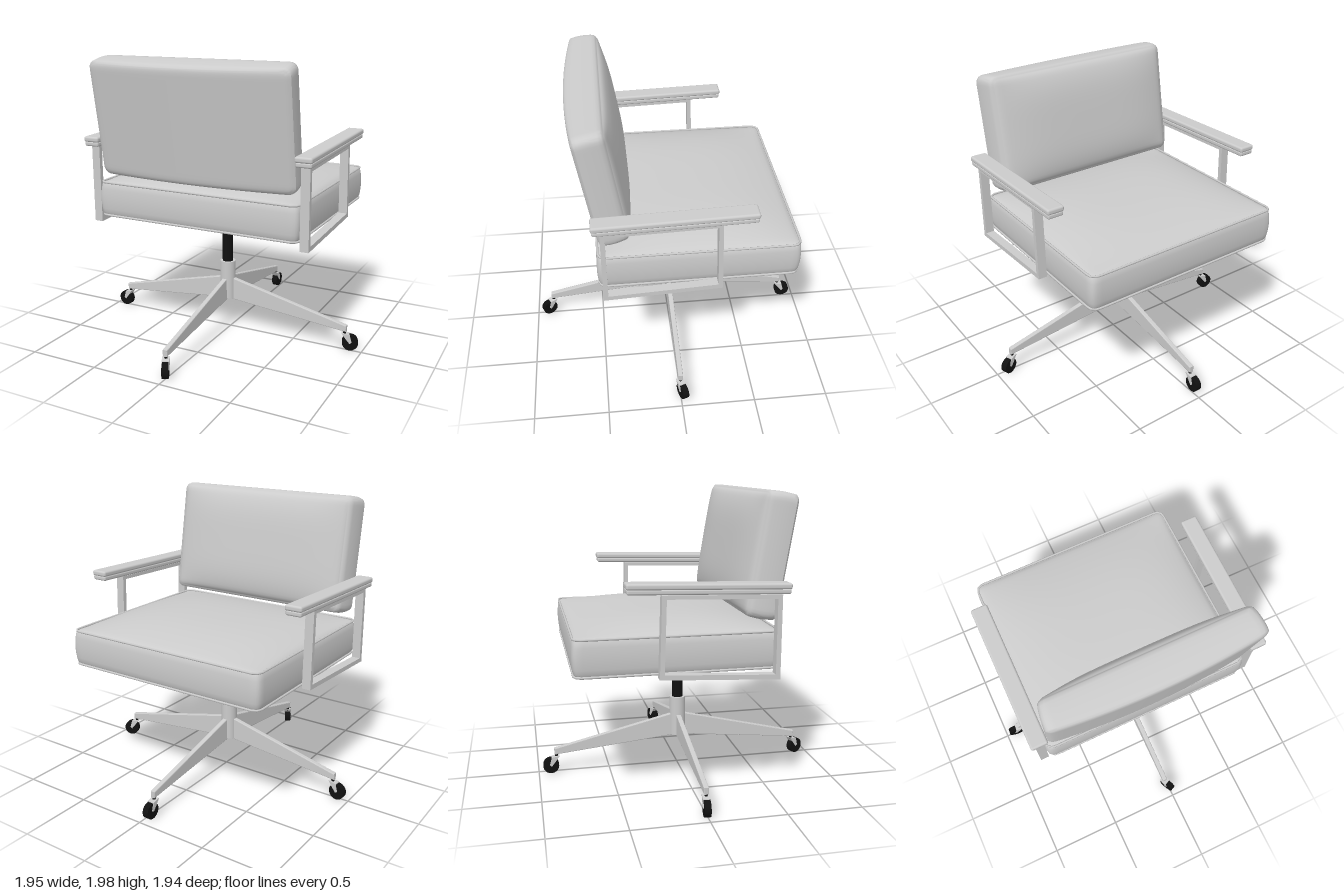
import * as THREE from 'three';
import { mergeVertices, toCreasedNormals } from 'three/addons/utils/BufferGeometryUtils.js';
import { RoundedBoxGeometry } from 'three/addons/geometries/RoundedBoxGeometry.js';

const grey = new THREE.MeshStandardMaterial({ color: 0xcccccc });
const black = new THREE.MeshStandardMaterial({ color: 0x111111 });

function add(parent, name, geometry, material = grey, x = 0, y = 0, z = 0) {
  const mesh = new THREE.Mesh(geometry, material);
  mesh.name = name;
  mesh.position.set(x, y, z);
  parent.add(mesh);
  return mesh;
}

// Rounded slab (x width, y thickness, z length) with bulging sides and crowned faces
function cushion({ half, radius, bulge, taper = 0, top, bottom }) {
  const geo = new THREE.BoxGeometry(2, 2, 2, 28, 10, 28);
  geo.deleteAttribute('uv');
  geo.deleteAttribute('normal');
  const pos = geo.attributes.position;
  for (let i = 0; i < pos.count; i++) {
    const p = [pos.getX(i), pos.getY(i), pos.getZ(i)].map(t => Math.sin(t * Math.PI / 2));
    const inner = p.map((t, k) => THREE.MathUtils.clamp(t * half[k], radius[k] - half[k], half[k] - radius[k]));
    const q = p.map((t, k) => (t * half[k] - inner[k]) / radius[k]);
    const len = Math.hypot(...q);
    const s = len > 0 ? Math.max(...q.map(Math.abs)) / len : 0;
    const [u, v, w] = p;
    const [x, y, z] = inner.map((c, k) => c + q[k] * s * radius[k]);
    const swell = bulge * (1 - v * v);
    const crown = v > 0 ? top(u, w) * v : bottom(u, w) * v;
    pos.setXYZ(i,
      x * (1 - taper * v + swell / half[0]),
      y + crown,
      z * (1 + swell / half[2]));
  }
  return toCreasedNormals(mergeVertices(geo, 1e-5), 0.75);
}

// Closed tube following a rounded rectangle in the xz plane
function piping(hx, hz, r, thickness) {
  const pts = [];
  for (const [sx, sz, a0] of [[1, 1, 0], [-1, 1, 90], [-1, -1, 180], [1, -1, 270]])
    for (let a = 0; a <= 90; a += 30) {
      const t = (a0 + a) * Math.PI / 180;
      pts.push(new THREE.Vector3(sx * (hx - r) + r * Math.cos(t), 0, sz * (hz - r) + r * Math.sin(t)));
    }
  const path = new THREE.CurvePath();
  pts.forEach((p, i) => path.add(new THREE.LineCurve3(p, pts[(i + 1) % pts.length])));
  return new THREE.TubeGeometry(path, 160, thickness, 6, true);
}

function polygon(points, type = THREE.Shape) {
  return new type(points.map(([x, y]) => new THREE.Vector2(x, y)));
}

function addCaster(leg, length, swivel) {
  const caster = new THREE.Group();
  caster.name = 'caster';
  caster.position.x = length - 0.015;
  caster.rotation.y = swivel * Math.PI / 180;
  leg.add(caster);
  add(caster, 'casterStem', new THREE.CylinderGeometry(0.011, 0.011, 0.04, 12), black, 0, 0.13, 0);
  // Hood sloping from the stem down to the axle
  const hood = polygon([[-0.02, 0.125], [0.035, 0.115], [0.05, 0.06], [0.036, 0.05], [0.008, 0.085]]);
  const hoodGeo = new THREE.ExtrudeGeometry(hood, { depth: 0.05, bevelEnabled: false });
  add(caster, 'casterHood', hoodGeo.translate(0, 0, -0.025));
  const wheelGeo = new THREE.CylinderGeometry(0.055, 0.055, 0.042, 28).rotateX(Math.PI / 2);
  add(caster, 'casterWheel', wheelGeo, black, 0.04, 0.055, 0);
}

export function createModel() {
  const chair = new THREE.Group();
  chair.name = 'officeChair';
  const body = new THREE.Group();
  body.name = 'chairBody';
  body.position.x = -0.023;
  chair.add(body);

  // Seat cushion with piped rims
  const seat = new THREE.Group();
  seat.name = 'seat';
  seat.position.set(0, 1.005, -0.14);
  body.add(seat);
  add(seat, 'seatCushion', cushion({
    half: [0.73, 0.118, 0.645], radius: [0.045, 0.012, 0.045], bulge: 0.012,
    top: (u, w) => 0.077 * (1 - u ** 4) * (1 - Math.abs(w) ** 2.4),
    bottom: (u, w) => 0.022 * (1 - u * u) * (1 - w * w),
  }));
  for (const y of [0.116, -0.116])
    add(seat, 'seatPiping', piping(0.731, 0.646, 0.045, 0.008), grey, 0, y, 0);

  // Backrest, leaning back; the front face is the cushion's top
  const back = add(body, 'backrest', cushion({
    half: [0.697, 0.1, 0.39], radius: [0.05, 0.022, 0.05], bulge: 0.01, taper: 0.018,
    top: (u, w) => 0.055 * (1 - u ** 4) * (1 - w ** 4),
    bottom: u => 0.045 * (1 - u * u),
  }), grey, 0, 1.583, 0.457);
  back.rotation.x = -Math.PI / 2 + 0.167;

  // Arm frames and arm pads
  for (const side of [-1, 1]) {
    const arm = new THREE.Group();
    arm.name = side > 0 ? 'leftArm' : 'rightArm';
    body.add(arm);
    const frame = polygon([[0.485, 0.83], [0.487, 1.365], [-0.262, 1.385], [-0.278, 0.868]]);
    frame.holes.push(polygon([[0.455, 0.862], [0.457, 1.34], [-0.234, 1.36], [-0.248, 0.898]], THREE.Path));
    const frameGeo = new THREE.ExtrudeGeometry(frame, { depth: 0.06, bevelEnabled: false });
    frameGeo.translate(0, 0, -0.03).rotateY(-Math.PI / 2);
    add(arm, 'armFrame', frameGeo, grey, side * 0.772, 0, 0);

    const pad = new THREE.Group();
    pad.name = 'armPad';
    pad.position.set(side * 0.772, 1.418, 0.03);
    pad.rotation.x = 0.027;
    arm.add(pad);
    add(pad, 'armPadTop', new RoundedBoxGeometry(0.116, 0.038, 1.02, 4, 0.014), grey, 0, 0.013, 0);
    add(pad, 'armPadBase', new RoundedBoxGeometry(0.108, 0.034, 1.01, 4, 0.012), grey, 0, -0.018, 0);
  }

  // Column
  add(body, 'seatFlange', new THREE.CylinderGeometry(0.06, 0.06, 0.04, 32), grey, 0, 0.855, 0);
  add(body, 'gasColumn', new THREE.CylinderGeometry(0.038, 0.038, 0.36, 32), black, 0, 0.67, 0);
  add(body, 'hub', new THREE.CylinderGeometry(0.056, 0.056, 0.28, 32), grey, 0, 0.368, 0);

  // Four tapered legs with swivelled casters: [direction, length, swivel]
  for (const [angle, length, swivel] of [[0, 0.914, 20], [90, 0.889, 0], [180, 0.872, -5], [270, 0.889, 25]]) {
    const leg = new THREE.Group();
    leg.name = 'leg';
    leg.rotation.y = angle * Math.PI / 180;
    body.add(leg);
    const blade = polygon([[0.03, 0.226], [length - 0.006, 0.14], [length - 0.006, 0.175], [0.03, 0.38]]);
    const bladeGeo = new THREE.ExtrudeGeometry(blade, {
      depth: 0.022, bevelThickness: 0.006, bevelSize: 0.006, bevelSegments: 2,
    });
    add(leg, 'legBlade', bladeGeo.translate(0, 0, -0.011));
    addCaster(leg, length, swivel);
  }
  return chair;
}
